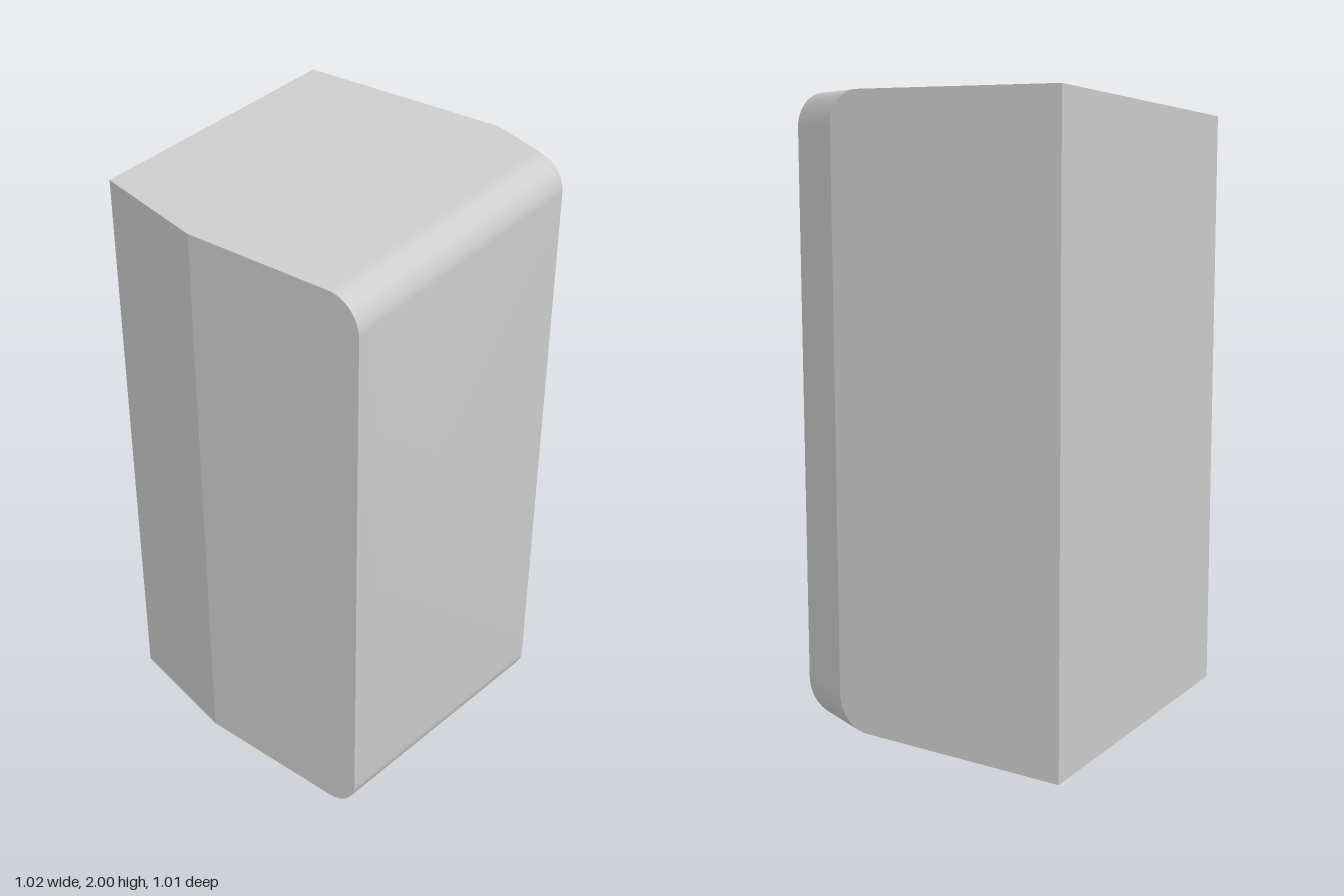
import * as THREE from 'three';
import { toCreasedNormals } from 'three/addons/utils/BufferGeometryUtils.js';

const ARC_STEPS = 20;
const RADIUS = 0.106;

// Cross-section at depth z: straight left wall, two rounded corners on the right
function section(z, left, right) {
  const taper = 0.08 * (z + 0.505) / 1.01;
  const low = taper, high = 2 - taper;
  const loop = [[left, low, z]];
  for (const [cy, start] of [[low + RADIUS, -Math.PI / 2], [high - RADIUS, 0]]) {
    for (let i = 0; i <= ARC_STEPS; i++) {
      const a = start + (i / ARC_STEPS) * Math.PI / 2;
      loop.push([right - RADIUS + RADIUS * Math.cos(a), cy + RADIUS * Math.sin(a), z]);
    }
  }
  loop.push([left, high, z]);
  return loop;
}

// Skin between consecutive sections, closed with flat caps
function loft(sections) {
  const n = sections[0].length, last = (sections.length - 1) * n;
  const index = [];
  for (let s = 0; s < sections.length - 1; s++) {
    for (let i = 0; i < n; i++) {
      const a = s * n + i, b = s * n + (i + 1) % n;
      index.push(a, b, b + n, a, b + n, a + n);
    }
  }
  for (let i = 1; i < n - 1; i++) {
    index.push(0, i + 1, i);
    index.push(last, last + i, last + i + 1);
  }
  const geometry = new THREE.BufferGeometry();
  geometry.setAttribute('position', new THREE.Float32BufferAttribute(sections.flat(2), 3));
  geometry.setIndex(index);
  return toCreasedNormals(geometry, 0.15);
}

export function createModel() {
  const grey = new THREE.MeshStandardMaterial({ color: 0xcccccc });
  grey.name = 'light grey';

  // Tapered block with a chamfered back corner and an angled front corner
  const body = new THREE.Mesh(loft([
    section(-0.505, -0.51, 0.32),
    section(-0.437, -0.51, 0.51),
    section(0.41, -0.51, 0.51),
    section(0.505, -0.1, 0.51),
  ]), grey);
  body.name = 'body';

  const group = new THREE.Group();
  group.name = 'roundedTaperedBlock';
  group.add(body);
  return group;
}
